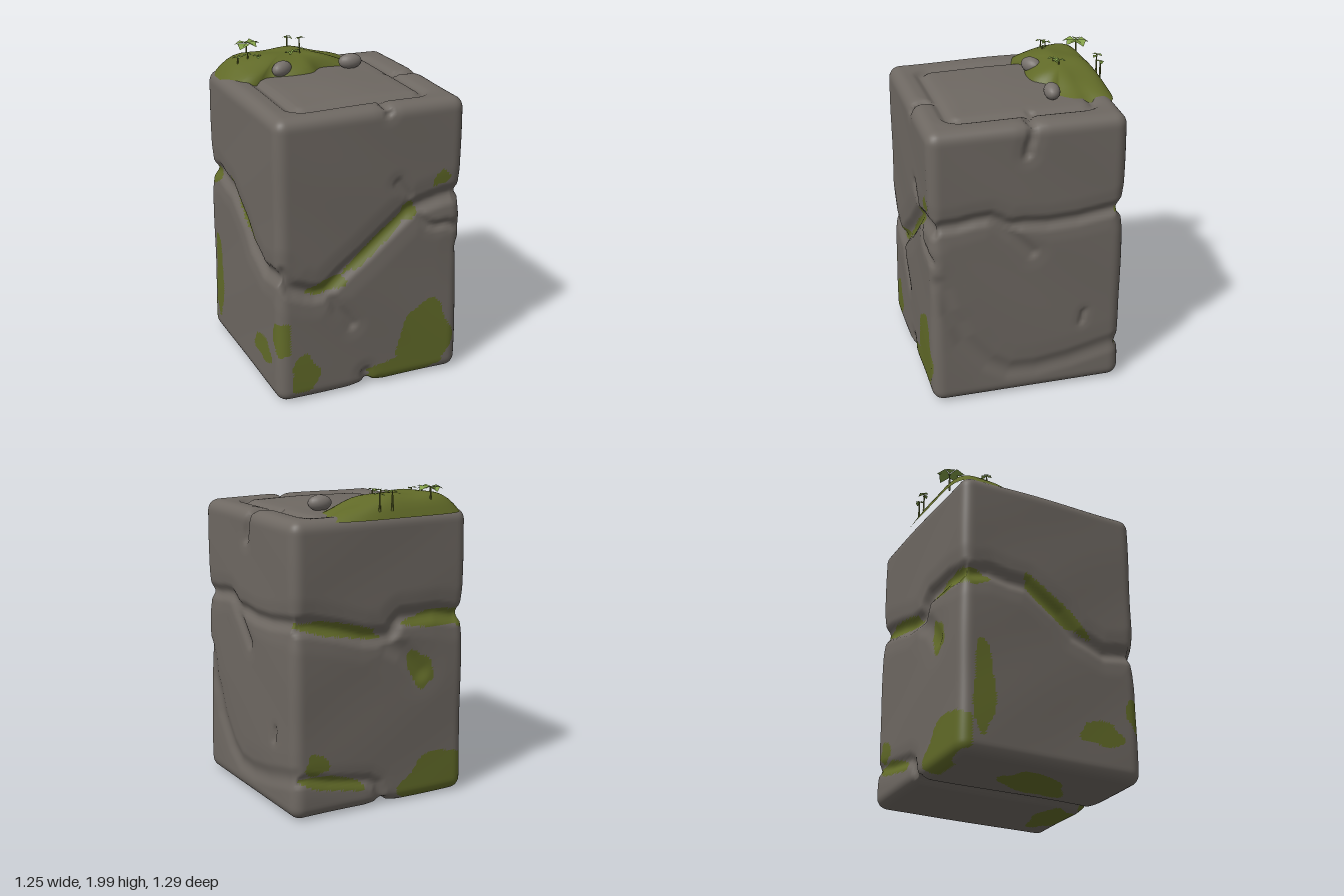
import * as THREE from 'three';
import { mergeVertices } from 'three/addons/utils/BufferGeometryUtils.js';

const mat = (name, color, extra = {}) => {
  const m = new THREE.MeshStandardMaterial({ color, ...extra });
  m.name = name;
  return m;
};
const V = (x, y, z) => new THREE.Vector3(x, y, z);

// Block half sizes, centre and edge radius
const HALF = V(0.62, 0.92, 0.615), MID = V(0, 0.92, 0.015), R = 0.075;

// Each side maps two flat coordinates to space, and back
const SIDES = {
  front: { at: (a, b) => V(a, b, 0.63), flat: p => [p.x, p.y], off: p => 0.63 - p.z },
  back: { at: (a, b) => V(a, b, -0.6), flat: p => [p.x, p.y], off: p => p.z + 0.6 },
  right: { at: (a, b) => V(0.62, b, a), flat: p => [p.z, p.y], off: p => 0.62 - p.x },
  left: { at: (a, b) => V(-0.62, b, a), flat: p => [p.z, p.y], off: p => p.x + 0.62 },
  top: { at: (a, b) => V(a, 1.84, b), flat: p => [p.x, p.z], off: p => 1.84 - p.y },
  bottom: { at: (a, b) => V(a, 0, b), flat: p => [p.x, p.z], off: p => p.y },
};

// Cracks on each side: width, depth, then the points of the path
const CRACKS = {
  front: [
    [0.075, 0.05, -0.62, 0.86, -0.5, 0.77, -0.3, 0.73, 0.25, 1.15, 0.62, 1.22],
    [0.04, 0.025, 0.28, 1.16, 0.18, 1.36],
    [0.04, 0.025, 0.28, 1.15, 0.38, 1.05, 0.62, 1],
    [0.05, 0.028, -0.3, 0.71, -0.14, 0.45],
    [0.05, 0.04, -0.03, 0.1, -0.02, 0],
    [0.04, 0.03, 0.1, 1.84, 0.11, 1.8],
  ],
  right: [
    [0.06, 0.035, 0.63, 1.22, 0.25, 1.26, 0.05, 1.19, -0.6, 1.23],
    [0.055, 0.025, 0.22, 1.24, 0, 1],
    [0.045, 0.03, 0, 1.84, 0.02, 1.65],
    [0.08, 0.02, 0.58, 0.85, 0.48, 0.55, 0.15, 0.18, -0.6, 0.27],
    [0.03, 0.018, -0.34, 0.53, -0.34, 0.46],
  ],
  back: [
    [0.075, 0.05, 0.62, 1.23, 0, 1.09, -0.13, 1.19, -0.62, 1.17],
    [0.09, 0.025, 0, 1.09, -0.28, 0.85],
    [0.05, 0.03, 0.62, 0.26, 0.1, 0.17, -0.02, 0],
  ],
  left: [[0.07, 0.045, -0.6, 1.17, -0.15, 1.15, 0.28, 0.85, 0.63, 0.85]],
  top: [
    [0.035, 0.03, 0.1, 0.47, 0.1, 0.63],
    [0.04, 0.035, 0.42, -0.03, 0.62, 0],
  ],
  bottom: [[0.06, 0.045, -0.02, -0.6, -0.02, 0.63]],
};

// Moss blobs on each side: centre, two radii, tilt
const BLOBS = {
  front: [
    [0.38, 0.28, 0.19, 0.23, 0], [0.22, 0.08, 0.26, 0.07, 0], [-0.45, 0.18, 0.09, 0.13, 0], [0.47, 1.34, 0.06, 0.045, 0.5],
    [-0.29, 0.75, 0.13, 0.045, 0.2], [0.05, 0.98, 0.29, 0.035, 0.7], [0.25, 1.15, 0.055, 0.06, 0],
  ],
  back: [
    [0.3, 1.16, 0.3, 0.045, 0.2], [-0.42, 1.16, 0.24, 0.05, 0], [-0.28, 0.85, 0.08, 0.13, -0.5],
    [0.34, 0.2, 0.23, 0.045, 0.22], [0.46, 0.34, 0.08, 0.07, 0], [-0.4, 0.13, 0.27, 0.15, -0.2],
  ],
  left: [
    [-0.45, 0.42, 0.07, 0.3, 0], [-0.52, 1.14, 0.1, 0.06, 0], [0.04, 1.06, 0.27, 0.055, -0.6],
    [0.35, 0.27, 0.15, 0.08, 0], [0.6, 0.44, 0.07, 0.11, 0],
  ],
  bottom: [[0.24, 0.47, 0.2, 0.12, 0], [-0.3, 0.05, 0.15, 0.25, -0.4]],
};

const fall = t => (t < 1 ? (1 - t * t) ** 2 : 0);

// Ragged ellipse test
function inBlob([a, b], [ca, cb, ra, rb, tilt]) {
  const x = a - ca, y = b - cb, c = Math.cos(tilt), s = Math.sin(tilt);
  const u = (x * c + y * s) / ra, v = (y * c - x * s) / rb, ang = Math.atan2(v, u);
  return Math.hypot(u, v) < 1 + 0.1 * Math.sin(3 * ang + 9 * ca) + 0.07 * Math.sin(5 * ang + 7 * cb);
}

// All grooves as short straight cuts, each crack roughened by a small wave
function grooves() {
  const cuts = [];
  const cut = (side, w, d, pts) => pts.slice(1).forEach((q, i) => cuts.push({
    line: new THREE.Line3(SIDES[side].at(pts[i].x, pts[i].y), SIDES[side].at(q.x, q.y)), w, d }));
  for (const side in CRACKS) for (const [w, d, ...path] of CRACKS[side]) {
    const ends = [];
    for (let i = 0; i < path.length; i += 2) ends.push(new THREE.Vector2(path[i], path[i + 1]));
    const pts = new THREE.SplineCurve(ends).getPoints((ends.length - 1) * 4);
    pts.forEach(p => p.set(p.x + 0.008 * Math.sin(31 * p.y), p.y + 0.012 * Math.sin(27 * p.x)));
    cut(side, w, d, pts);
  }
  // Rounded square groove around the top panel
  const frame = new THREE.Path();
  frame.absarc(0.35, 0.38, 0.08, 0, Math.PI / 2);
  frame.absarc(-0.36, 0.38, 0.08, Math.PI / 2, Math.PI);
  frame.absarc(-0.36, -0.37, 0.08, Math.PI, Math.PI * 1.5);
  frame.absarc(0.35, -0.37, 0.08, Math.PI * 1.5, Math.PI * 2);
  frame.closePath();
  cut('top', 0.045, 0.03, frame.getPoints(4));
  return cuts;
}

// Rounded block carved by the grooves, with moss blobs as a second material
function stoneBlock(materials) {
  let geo = new THREE.BoxGeometry(HALF.x * 2, HALF.y * 2, HALF.z * 2, 72, 106, 72);
  geo.deleteAttribute('uv');
  geo.deleteAttribute('normal');
  geo.clearGroups();
  geo = mergeVertices(geo, 1e-4);
  const cuts = grooves(), pos = geo.attributes.position, p = V(), near = V();
  const inner = HALF.clone().subScalar(R), low = inner.clone().negate();
  for (let i = 0; i < pos.count; i++) {
    p.fromBufferAttribute(pos, i);
    const core = p.clone().clamp(low, inner), n = p.clone().sub(core).normalize();
    p.copy(core).addScaledVector(n, R).add(MID);
    let carve = 0;
    for (const { line, w, d } of cuts) {
      const dist = line.closestPointToPoint(p, true, near).distanceTo(p);
      carve = Math.max(carve, d * (0.75 * fall(dist / w) + 0.25 * fall(dist / (2.4 * w))));
    }
    const wave = 0.004 * Math.sin(5 * p.x + 4 * p.y) * Math.cos(6 * p.z - 5 * p.y);
    // Gentle dome on the top panel
    const dome = n.y > 0.9 ? 0.018 * fall(Math.hypot(p.x, p.z - 0.05) / 0.45) : 0;
    p.addScaledVector(n, wave + dome - carve);
    pos.setXYZ(i, p.x, Math.max(p.y, 0), p.z);
  }
  const ids = [[], []], idx = geo.index.array, c = V(), v = V();
  for (let i = 0; i < idx.length; i += 3) {
    c.set(0, 0, 0);
    for (let k = 0; k < 3; k++) c.addScaledVector(v.fromBufferAttribute(pos, idx[i + k]), 1 / 3);
    const mossy = Object.keys(BLOBS).some(s => SIDES[s].off(c) < 0.075
      && BLOBS[s].some(blob => inBlob(SIDES[s].flat(c), blob)));
    ids[mossy ? 1 : 0].push(idx[i], idx[i + 1], idx[i + 2]);
  }
  geo.setIndex([...ids[0], ...ids[1]]);
  geo.addGroup(0, ids[0].length, 0);
  geo.addGroup(ids[0].length, ids[1].length, 1);
  geo.computeVertexNormals();
  return new THREE.Mesh(geo, materials);
}

// Height of the moss mound above the block
const mossHeight = (x, z) => THREE.MathUtils.lerp(0.115, 0.045, THREE.MathUtils.smoothstep(x, -0.1, 0.3))
  - 0.05 * THREE.MathUtils.smoothstep(z, -0.38, -0.18) + 0.008 * Math.sin(17 * x) * Math.cos(19 * z);

// Moss cushion made of rings that shrink towards its middle
function mossMound(material) {
  const rim = [[-0.56, -0.58], [-0.6, -0.4], [-0.55, -0.18], [-0.45, -0.16], [-0.35, -0.2], [-0.2, -0.16], [-0.03, -0.17], [0.07, -0.28], [0.3, -0.27], [0.35, -0.36], [0.31, -0.43], [0.33, -0.58], [-0.2, -0.625]];
  const loop = new THREE.CatmullRomCurve3(rim.map(([x, z]) => V(x, 0, z)), true).getSpacedPoints(72);
  const pts = [], index = [], rings = 12, n = loop.length;
  for (let r = 0; r <= rings; r++) {
    const t = r / rings;
    for (const q of loop) {
      const x = THREE.MathUtils.lerp(-0.14, q.x, t), z = THREE.MathUtils.lerp(-0.4, q.z, t);
      pts.push(x, 1.815 + (mossHeight(x, z) + 0.015) * (1 - t ** 5), z);
    }
  }
  for (let r = 0; r < rings; r++) for (let i = 0; i < n - 1; i++) {
    const a = r * n + i, b = a + n;
    index.push(a, b, a + 1, b, b + 1, a + 1);
  }
  const geo = new THREE.BufferGeometry();
  geo.setAttribute('position', new THREE.Float32BufferAttribute(pts, 3));
  geo.setIndex(index);
  const merged = mergeVertices(geo, 1e-4);
  merged.computeVertexNormals();
  return new THREE.Mesh(merged, material);
}

// Small plant: thin stem with a crown of folded leaves
function plant(x, z, top, size, leaves, turn, leafMat, stemMat) {
  const g = new THREE.Group(), base = 1.86;
  const stem = new THREE.Mesh(new THREE.CylinderGeometry(0.004, 0.007, top - base, 5), stemMat);
  stem.name = 'stem';
  stem.position.set(x, (top + base) / 2, z);
  g.add(stem);
  const geo = new THREE.BufferGeometry();
  geo.setAttribute('position', new THREE.Float32BufferAttribute(
    [0, 0, 0, 0.55, 0.08, 0.42, 0.6, -0.06, 0, 1, -0.2, 0.1, 0.55, 0.08, -0.42], 3));
  geo.setIndex([0, 1, 2, 1, 3, 2, 0, 2, 4, 2, 3, 4]);
  geo.computeVertexNormals();
  for (let i = 0; i < leaves; i++) {
    const leaf = new THREE.Mesh(geo, leafMat);
    leaf.name = 'leaf';
    leaf.scale.setScalar(size * (1 - 0.12 * (i % 3)));
    leaf.rotation.y = turn + (i * Math.PI * 2) / leaves;
    leaf.position.set(x, top - 0.006 * (i % 2), z);
    g.add(leaf);
  }
  return g;
}

export function createModel() {
  const stone = mat('stone', 0x6e6862), moss = mat('moss', 0x616a28), pebble = mat('pebble stone', 0x77716c);
  const leafMat = mat('leaf', 0x83a048, { side: THREE.DoubleSide, flatShading: true });
  const model = new THREE.Group();
  const add = (name, part) => { part.name = name; model.add(part); return part; };

  add('stoneBlock', stoneBlock([stone, moss]));
  add('mossMound', mossMound(moss));

  // Pebbles beside the moss
  for (const [x, z, turn] of [[-0.235, -0.235, 0.5], [0.235, -0.23, -0.1]]) {
    const p = add('pebble', new THREE.Mesh(new THREE.SphereGeometry(1, 20, 14), pebble));
    p.scale.set(0.077, 0.05, 0.05);
    p.position.set(x, 1.883, z);
    p.rotation.y = turn;
  }

  // Plants: x, z, top, leaf size, leaf count, turn
  for (const args of [
    [-0.35, -0.57, 1.985, 0.1, 5, 0.3], [-0.05, -0.61, 1.985, 0.04, 4, 0.8], [0.035, -0.605, 1.97, 0.04, 3, 0],
    [-0.48, -0.37, 1.955, 0.045, 3, 0.5], [-0.41, -0.38, 1.965, 0.04, 3, 1.2], [-0.355, -0.345, 1.955, 0.04, 3, 2.5],
    [-0.13, -0.35, 1.955, 0.055, 3, 0.2], [-0.06, -0.365, 1.965, 0.045, 3, 1.4],
  ]) add('plant', plant(...args, leafMat, moss));
  return model;
}
